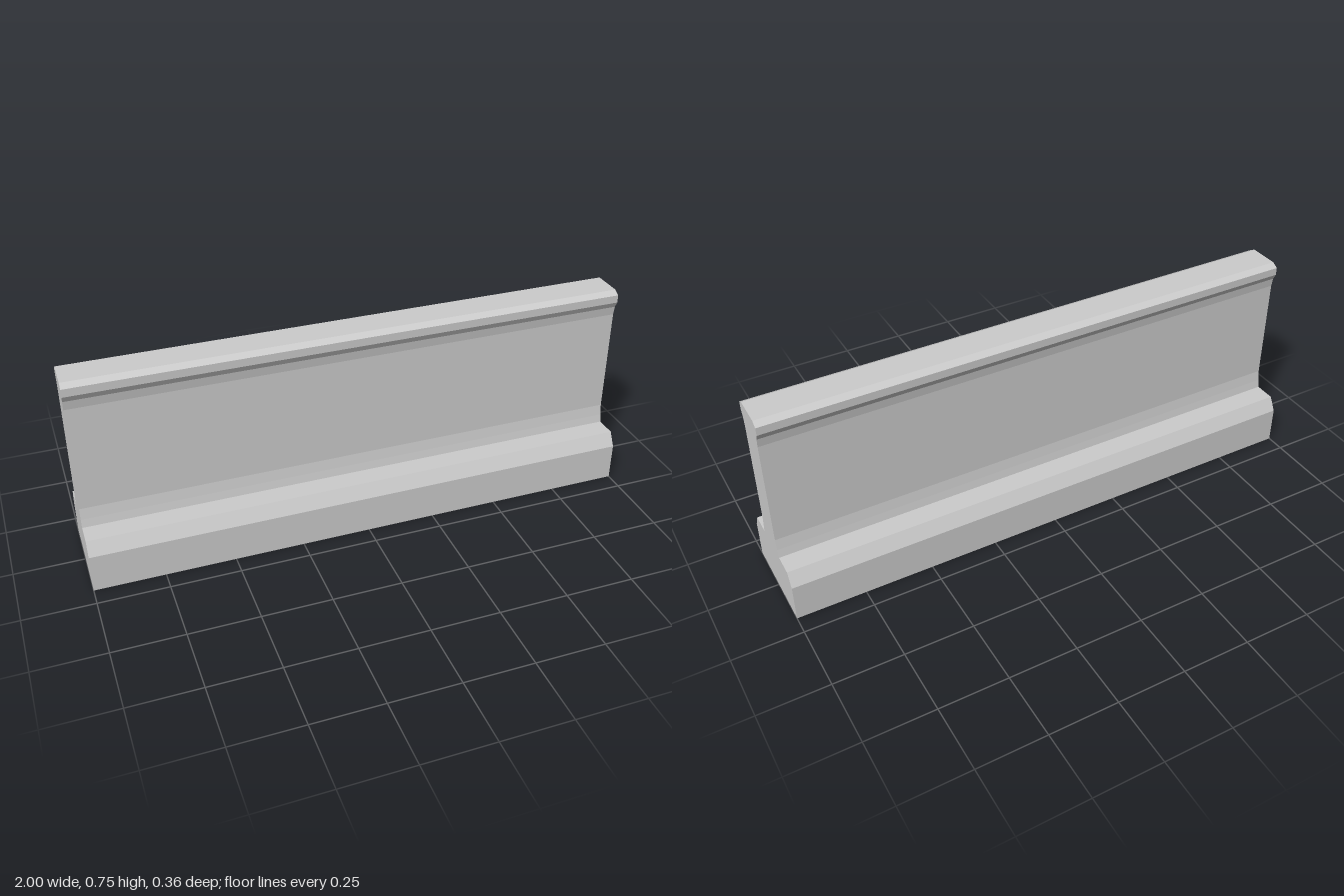
import * as THREE from 'three';

const LENGTH = 2;

// Half of the cross-section, from the footing up to the cap: [half width, height]
const HALF_PROFILE = [
  [0.181, 0], [0.181, 0.14], [0.153, 0.19],               // footing with chamfered shoulder
  [0.075, 0.19], [0.069, 0.22], [0.063, 0.26],            // flare at the foot of the wall
  [0.063, 0.65], [0.068, 0.683], [0.079, 0.705],          // wall and flare under the cap
  [0.079, 0.734], [0.056, 0.747],                         // chamfered cap
];

export function createModel() {
  const group = new THREE.Group();
  group.name = 'barrierWall';

  const concrete = new THREE.MeshStandardMaterial({ color: 0xcccccc });
  concrete.name = 'concrete grey';

  // Mirror the half profile into a closed outline
  const right = HALF_PROFILE.map(([w, y]) => new THREE.Vector2(w, y));
  const left = HALF_PROFILE.map(([w, y]) => new THREE.Vector2(-w, y)).reverse();
  const outline = new THREE.Shape([...right, ...left]);

  // Sweep it along the length, then turn the length onto x
  const geometry = new THREE.ExtrudeGeometry(outline, { depth: LENGTH, bevelEnabled: false });
  geometry.translate(0, 0, -LENGTH / 2);
  geometry.rotateY(Math.PI / 2);

  const beam = new THREE.Mesh(geometry, concrete);
  beam.name = 'wallAndFooting';
  group.add(beam);
  return group;
}
